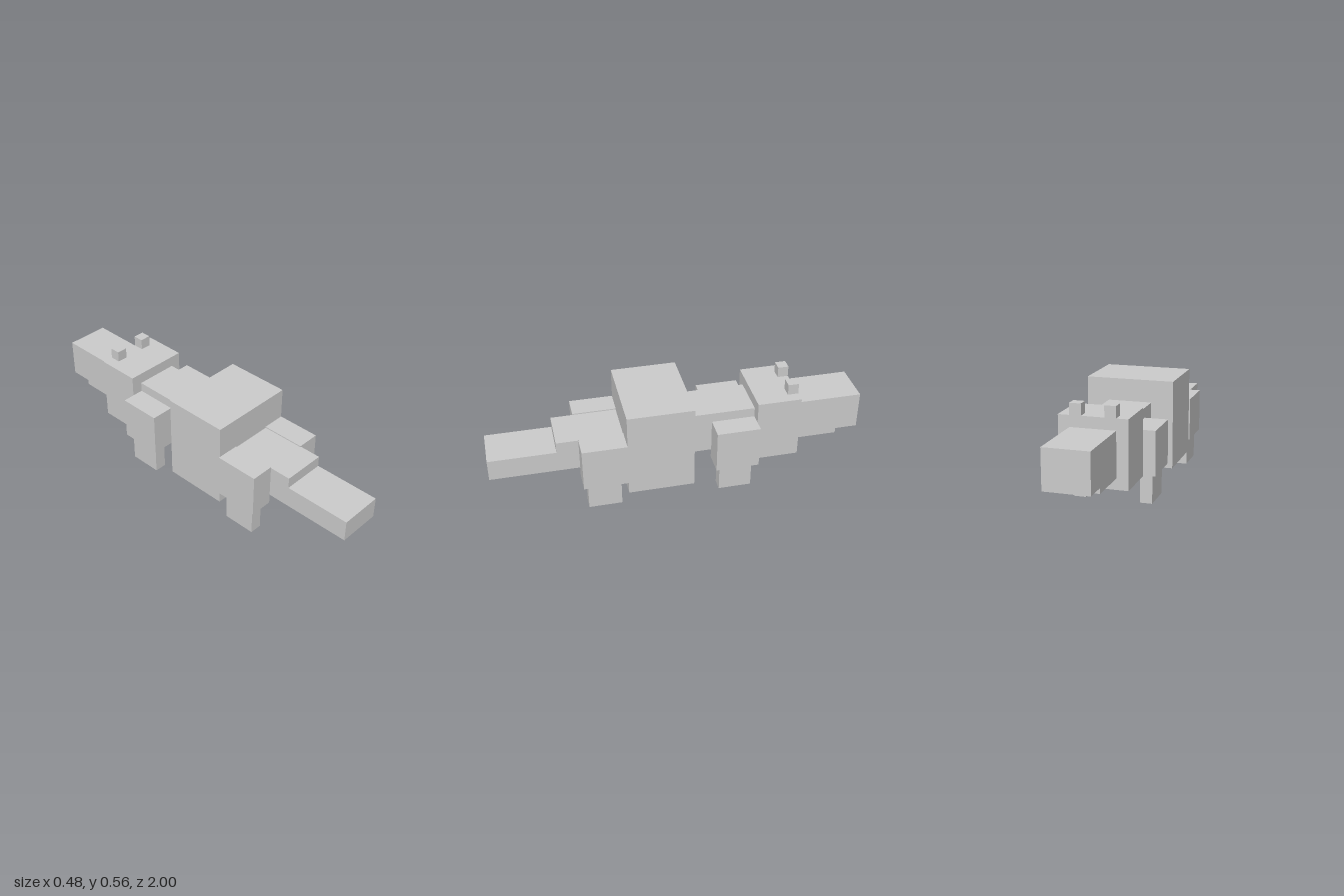
import * as THREE from 'three';

export function createModel() {
  const model = new THREE.Group();
  model.name = 'blockReptile';
  const material = new THREE.MeshStandardMaterial({ color: 0xcccccc, flatShading: true });

  // Adds a box given its [min, max] range along each axis
  function block(name, [x0, x1], [y0, y1], [z0, z1]) {
    const mesh = new THREE.Mesh(new THREE.BoxGeometry(x1 - x0, y1 - y0, z1 - z0), material);
    mesh.position.set((x0 + x1) / 2, (y0 + y1) / 2, (z0 + z1) / 2);
    mesh.name = name;
    model.add(mesh);
  }

  const slim = [-0.115, 0.118];

  // Tail, trunk and neck; the head end points to -z
  block('tailTip', slim, [0.208, 0.324], [0.645, 1]);
  block('tailBase', slim, [0.208, 0.383], [0.295, 0.645]);
  block('body', [-0.233, 0.237], [0.09, 0.56], [-0.057, 0.294]);
  block('neck', slim, [0.208, 0.441], [-0.41, -0.057]);

  // Head, snout and jaw
  block('head', [-0.175, 0.176], [0.15, 0.5], [-0.645, -0.41]);
  block('snout', slim, [0.236, 0.441], [-1, -0.645]);
  block('lowerJaw', slim, [0.208, 0.236], [-0.88, -0.645]);

  // Eyes on the back edge of the head
  block('rightEye', [-0.115, -0.057], [0.5, 0.559], [-0.645, -0.588]);
  block('leftEye', [0.059, 0.118], [0.5, 0.559], [-0.645, -0.588]);

  // Four legs: a thick upper block on a thin lower one
  const sides = [
    { side: 'right', upper: [-0.24, -0.115], lower: [-0.216, -0.151] },
    { side: 'left', upper: [0.113, 0.237], lower: [0.137, 0.201] },
  ];
  const pairs = [
    { pair: 'Hind', upper: [0.294, 0.529], lower: [0.327, 0.504] },
    { pair: 'Front', upper: [-0.41, -0.178], lower: [-0.381, -0.204] },
  ];
  for (const s of sides) {
    for (const p of pairs) {
      block(`${s.side}${p.pair}UpperLeg`, s.upper, [0.155, 0.389], p.upper);
      block(`${s.side}${p.pair}LowerLeg`, s.lower, [0, 0.155], p.lower);
    }
  }
  return model;
}
